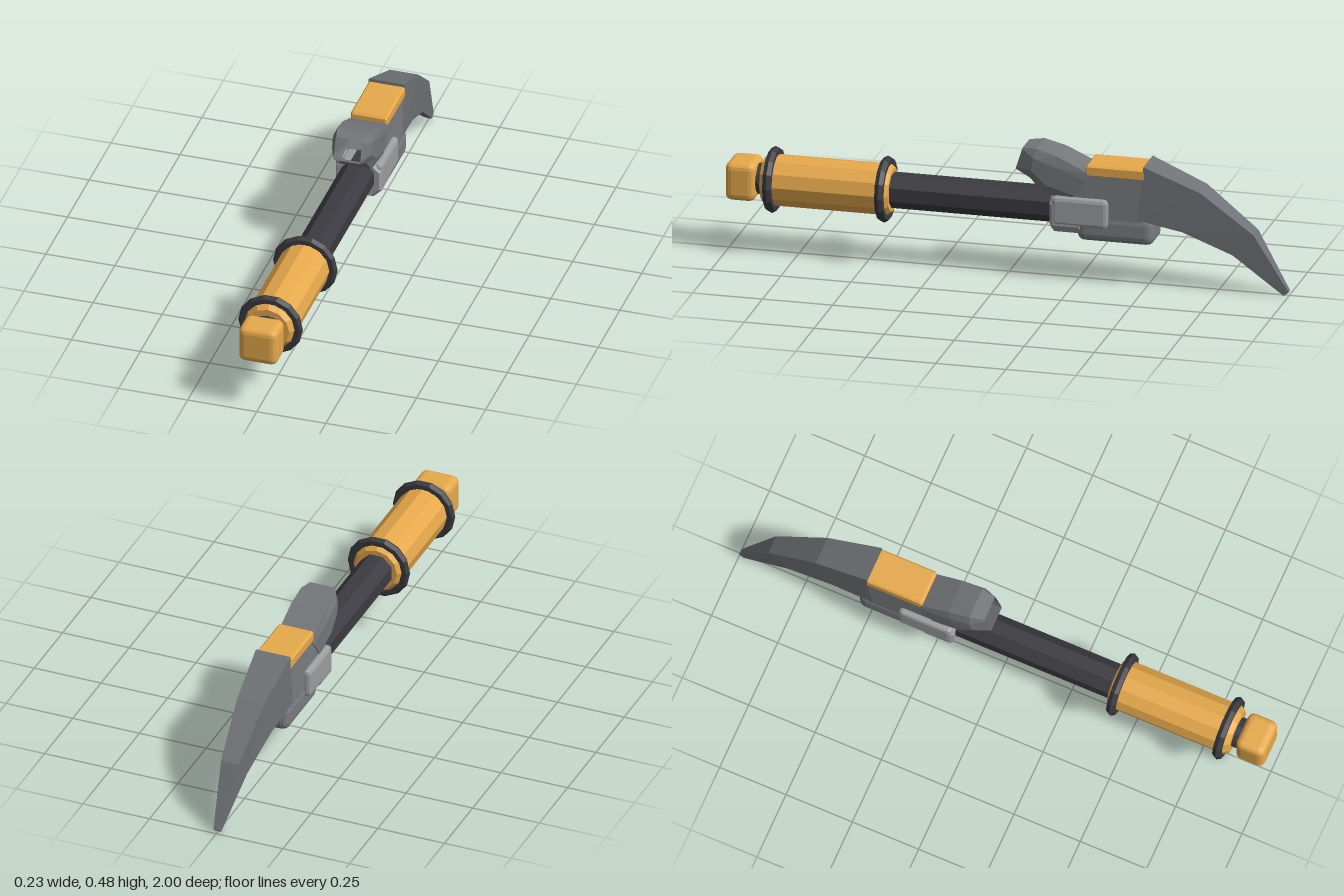
import * as THREE from 'three';
import { RoundedBoxGeometry } from 'three/addons/geometries/RoundedBoxGeometry.js';

const AXIS = 0.263; // height of the handle's axis
const mat = (color, side = THREE.FrontSide) =>
  new THREE.MeshStandardMaterial({ color, flatShading: true, side });

// Skin over cross-sections that run from front (+z) to back, each counter-clockwise from the front
function loft(sections, capFront, capBack) {
  const pos = [];
  const tri = (...pts) => pts.forEach((p) => pos.push(...p));
  const n = sections[0].length;
  for (let i = 0; i < sections.length - 1; i++) {
    for (let j = 0; j < n; j++) {
      const k = (j + 1) % n;
      const a = sections[i][j], b = sections[i][k], c = sections[i + 1][k], d = sections[i + 1][j];
      tri(a, d, c);
      tri(a, c, b);
    }
  }
  const first = sections[0], last = sections[sections.length - 1];
  for (let j = 1; j < n - 1; j++) {
    if (capFront) tri(first[0], first[j], first[j + 1]);
    if (capBack) tri(last[0], last[j + 1], last[j]);
  }
  const g = new THREE.BufferGeometry();
  g.setAttribute('position', new THREE.Float32BufferAttribute(pos, 3));
  g.computeVertexNormals();
  return g;
}

// Slanted section between a bottom and a top point [z, y]: half width w, t = chamfer share
function section(bottom, top, w, t, wTop = w * 0.78, wBottom = w * 0.7) {
  const at = (x, s) => [x, bottom[1] + (top[1] - bottom[1]) * s, bottom[0] + (top[0] - bottom[0]) * s];
  return [
    at(-wBottom, 0), at(wBottom, 0), at(w, t), at(w, 1 - t),
    at(wTop, 1), at(-wTop, 1), at(-w, 1 - t), at(-w, t),
  ];
}

// Side outline in [z, y], extruded across x with chamfered edges
function sidePlate(points, halfWidth, bevel) {
  const shape = new THREE.Shape(points.map(([z, y]) => new THREE.Vector2(z, y)));
  return new THREE.ExtrudeGeometry(shape, {
    depth: 2 * (halfWidth - bevel), bevelEnabled: bevel > 0, bevelThickness: bevel,
    bevelSize: bevel, bevelOffset: -bevel, bevelSegments: 1,
  }).translate(0, 0, -(halfWidth - bevel)).rotateY(-Math.PI / 2);
}

// Faceted turned part along the handle's axis, profile in [radius, z]
function turned(profile, sides, turn = 0) {
  return new THREE.LatheGeometry(profile.map(([r, z]) => new THREE.Vector2(r, z)), sides)
    .rotateY(turn).rotateX(Math.PI / 2).translate(0, AXIS, 0);
}

export function createModel() {
  const model = new THREE.Group();
  model.name = 'pickHammer';
  const yellow = mat(0xe6a94c), dark = mat(0x3b3a40);
  const steel = mat(0x797c80), paleSteel = mat(0x9c9d9f);
  const add = (name, geometry, material) => {
    const mesh = new THREE.Mesh(geometry, material);
    mesh.name = name;
    model.add(mesh);
    return mesh;
  };

  // Handle
  add('shaft', turned([[0, -0.3], [0.063, -0.3], [0.063, 0.5], [0, 0.5]], 8, Math.PI / 8), dark);
  add('grip', turned([[0, 0.415], [0.078, 0.415], [0.091, 0.43], [0.091, 0.855], [0.078, 0.873], [0, 0.873]], 12), yellow);
  add('neck', turned([[0, 0.86], [0.055, 0.86], [0.055, 0.91], [0, 0.91]], 12), dark);
  for (const [name, z] of [['frontGripRing', 0.84], ['rearGripRing', 0.44]]) {
    add(name, new THREE.TorusGeometry(0.1, 0.017, 6, 14).translate(0, AXIS, z), dark);
  }
  add('pommel', new RoundedBoxGeometry(0.14, 0.138, 0.108, 2, 0.024).translate(0, AXIS, 0.946), yellow);

  // Collar that wraps the shaft, with a cheek on each side
  const octagon = (w, y0, y1, c, z) => [
    [-w + c, y0, z], [w - c, y0, z], [w, y0 + c, z], [w, y1 - c, z],
    [w - c, y1, z], [-w + c, y1, z], [-w, y1 - c, z], [-w, y0 + c, z],
  ];
  add('collar', loft([
    octagon(0.076, 0.19, 0.316, 0.03, -0.163),
    octagon(0.083, 0.182, 0.32, 0.03, -0.175),
    octagon(0.083, 0.182, 0.32, 0.03, -0.27),
  ], true, true), paleSteel);
  for (const s of [1, -1]) {
    add(s > 0 ? 'leftCheek' : 'rightCheek',
      new RoundedBoxGeometry(0.05, 0.105, 0.2, 1, 0.014).translate(s * 0.06, 0.264, -0.27), paleSteel);
  }

  // Head body and the block below it
  add('headBody', sidePlate([
    [-0.225, 0.31], [-0.225, 0.2], [-0.49, 0.2], [-0.5, 0.402], [-0.31, 0.402],
  ], 0.064, 0), steel);
  add('lowerBlock', new RoundedBoxGeometry(0.134, 0.1, 0.275, 2, 0.028).translate(0, 0.207, -0.392), steel);
  add('topPlate', sidePlate([
    [-0.287, 0.395], [-0.5, 0.395], [-0.5, 0.436], [-0.295, 0.436], [-0.287, 0.428],
  ], 0.066, 0.006), yellow);

  // Hollow hammer end, open at its face
  add('hammer', loft([
    section([-0.035, 0.396], [-0.06, 0.475], 0.048, 0.06, 0.046, 0.046),
    section([-0.088, 0.37], [-0.112, 0.479], 0.072, 0.3, 0.058, 0.054),
    section([-0.137, 0.318], [-0.19, 0.457], 0.073, 0.25, 0.063, 0.056),
    section([-0.233, 0.302], [-0.31, 0.402], 0.068, 0.2, 0.065, 0.062),
  ], false, true), mat(0x74767a, THREE.DoubleSide));

  // Curved tapering pick: [bottom z, bottom y, top z, top y, half width]
  add('pick', loft([
    [-0.475, 0.25, -0.495, 0.447, 0.065],
    [-0.63, 0.217, -0.693, 0.366, 0.051],
    [-0.805, 0.142, -0.88, 0.222, 0.033],
    [-0.982, 0.002, -1.0, 0.016, 0.011],
  ].map(([z0, y0, z1, y1, w]) => [[-w, y0, z0], [w, y0, z0], [w, y1, z1], [-w, y1, z1]]), true, true),
  mat(0x6f7276));

  return model;
}
